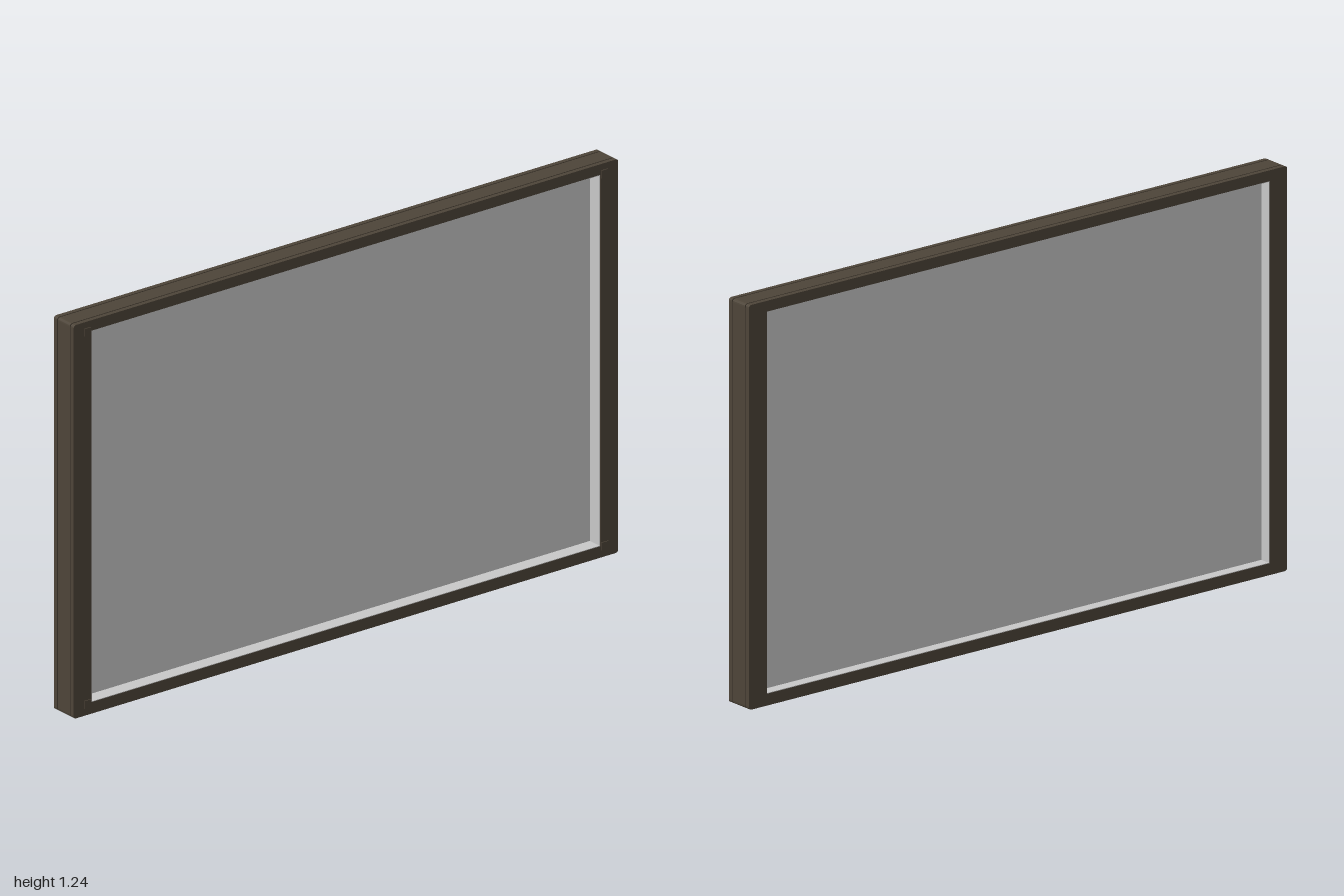
import * as THREE from 'three';

const H = 1.235; // overall height
const OPEN = { x: 0.932, y0: 0.038, y1: 1.2 }; // clear opening

function roundedRect(p, x, y0, y1, r) {
  p.moveTo(-x + r, y0);
  p.lineTo(x - r, y0);
  p.quadraticCurveTo(x, y0, x, y0 + r);
  p.lineTo(x, y1 - r);
  p.quadraticCurveTo(x, y1, x - r, y1);
  p.lineTo(-x + r, y1);
  p.quadraticCurveTo(-x, y1, -x, y1 - r);
  p.lineTo(-x, y0 + r);
  p.quadraticCurveTo(-x, y0, -x + r, y0);
  return p;
}

// Rectangular ring between an outer outline and an opening, from z0 to z1
function ring(outer, inner, z0, z1, r) {
  const shape = roundedRect(new THREE.Shape(), outer.x, outer.y0, outer.y1, r);
  const { x, y0, y1 } = inner;
  shape.holes.push(new THREE.Path([
    new THREE.Vector2(-x, y0), new THREE.Vector2(-x, y1),
    new THREE.Vector2(x, y1), new THREE.Vector2(x, y0),
  ]));
  const geo = new THREE.ExtrudeGeometry(shape, { depth: z1 - z0, bevelEnabled: false, curveSegments: 4 });
  return geo.translate(0, 0, z0);
}

const grow = (o, d) => ({ x: o.x + d, y0: o.y0 - d, y1: o.y1 + d });

export function createModel() {
  const group = new THREE.Group();
  const bronze = new THREE.MeshStandardMaterial({ color: 0x4d4438 });
  bronze.name = 'dark bronze';
  const grey = new THREE.MeshStandardMaterial({ color: 0xc8c8c8 });
  grey.name = 'light grey';

  const add = (name, geo, mat) => {
    const mesh = new THREE.Mesh(geo, mat);
    mesh.name = name;
    group.add(mesh);
    return mesh;
  };

  // Frame layers, separated by two shallow grooves around the edge
  const outer = { x: 1, y0: 0, y1: H };
  const opening = grow(OPEN, 0.002);
  const layers = [
    ['frontFrame', 0.032, 0.046, 0],
    ['frontGroove', 0.028, 0.032, 0.007],
    ['middleFrame', -0.028, 0.028, 0],
    ['backGroove', -0.032, -0.028, 0.007],
    ['backFrame', -0.047, -0.032, 0],
  ];
  for (const [name, z0, z1, inset] of layers) {
    add(name, ring(grow(outer, -inset), opening, z0, z1, 0.01), bronze);
  }

  // Grey lining of the opening and the recessed pane
  add('openingLining', ring(opening, OPEN, -0.0465, 0.0455, 0.0001), grey);
  const pane = new THREE.BoxGeometry(2 * OPEN.x, OPEN.y1 - OPEN.y0, 0.012);
  add('pane', pane, grey).position.set(0, (OPEN.y0 + OPEN.y1) / 2, -0.006);

  // Small bumper pads at the front corners
  for (const sx of [-1, 1]) {
    for (const y of [0.035, 1.203]) {
      add('cornerPad', new THREE.BoxGeometry(0.026, 0.024, 0.004), bronze)
        .position.set(sx * 0.949, y, 0.047);
    }
  }
  return group;
}
